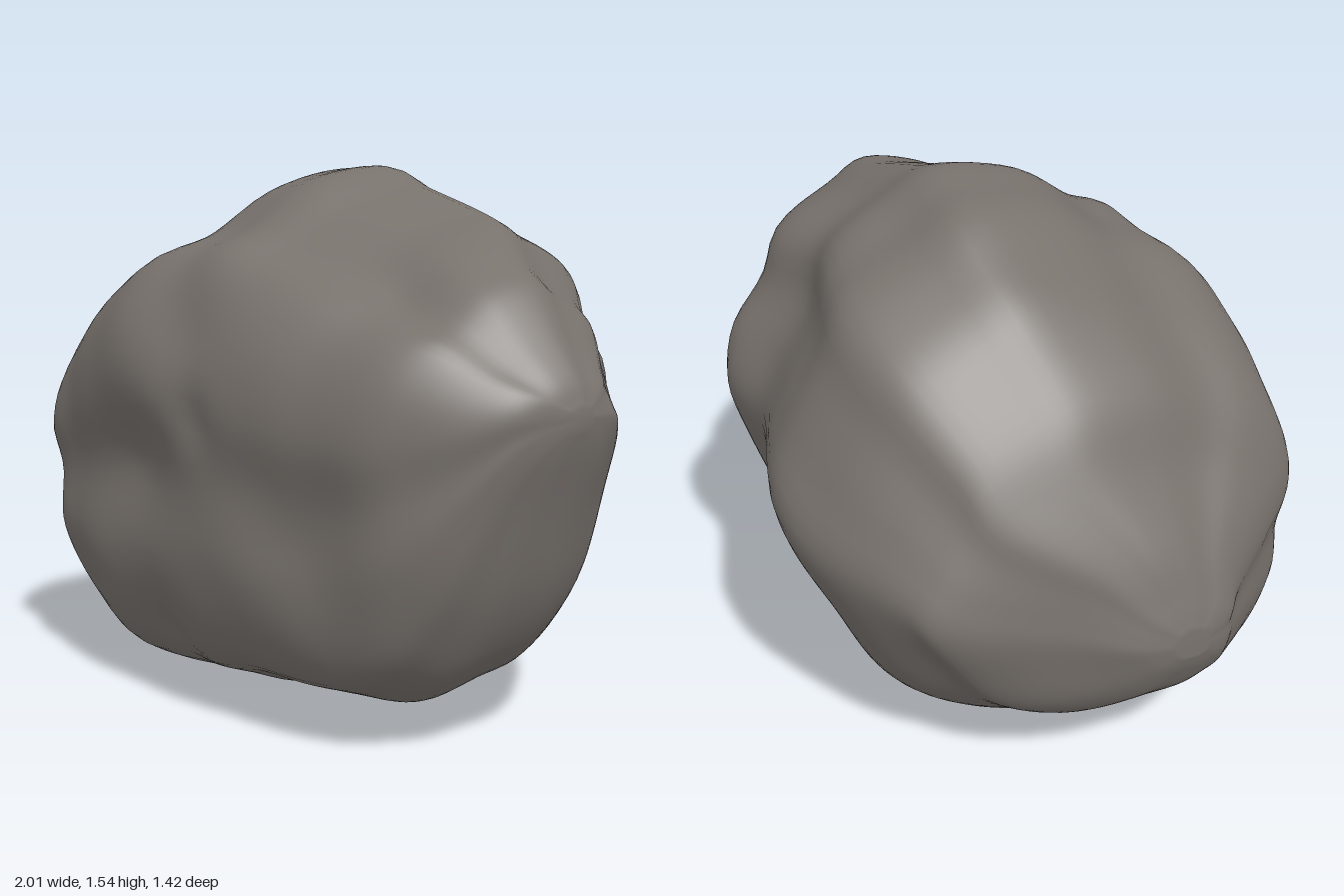
import * as THREE from 'three';

// Outline stations along the boulder: x, top y, bottom y, front z, back z
const STATIONS = [
  [-1.0, 0.58, 0.5, 0.2, 0.1],
  [-0.975, 0.66, 0.43, 0.29, -0.01],
  [-0.92, 0.8, 0.33, 0.36, -0.15],
  [-0.8, 1.0, 0.22, 0.54, -0.45],
  [-0.7, 1.17, 0.15, 0.66, -0.55],
  [-0.55, 1.34, 0.05, 0.68, -0.65],
  [-0.4, 1.44, 0.005, 0.7, -0.7],
  [-0.25, 1.52, 0.015, 0.71, -0.71],
  [-0.1, 1.535, 0.03, 0.7, -0.67],
  [0.05, 1.545, 0.04, 0.68, -0.62],
  [0.2, 1.49, 0.08, 0.65, -0.59],
  [0.4, 1.43, 0.095, 0.6, -0.6],
  [0.55, 1.39, 0.12, 0.54, -0.5],
  [0.7, 1.31, 0.22, 0.49, -0.36],
  [0.8, 1.25, 0.36, 0.42, -0.28],
  [0.9, 1.13, 0.6, 0.32, -0.18],
  [0.97, 1.04, 0.81, 0.21, -0.1],
  [1.0, 0.97, 0.92, 0.07, 0.0],
];

// Irregular cross-section, z and y, running from the top over the front
const SECTION = [
  [-0.11, 1.545], [0.15, 1.49], [0.35, 1.37], [0.53, 1.3], [0.66, 1.13], [0.71, 0.92],
  [0.675, 0.7], [0.68, 0.43], [0.58, 0.15], [0.4, 0.05], [0.22, 0], [0, 0.03],
  [-0.22, 0.07], [-0.45, 0.23], [-0.6, 0.5], [-0.71, 0.8], [-0.65, 1.0],
  [-0.55, 1.2], [-0.48, 1.36], [-0.27, 1.47],
];

// Local hollows (positive depth) and swellings (negative): x, y, z, radius, depth
const DENTS = [
  [-0.25, 0.72, 0.68, 0.2, 0.05],
  [0.02, 1.12, 0.6, 0.14, 0.035],
  [0.14, 0.88, 0.68, 0.08, 0.03],
  [-0.4, 1.05, 0.6, 0.22, -0.02],
  [0.42, 0.55, 0.55, 0.14, 0.03],
  [-0.12, 0.2, 0.6, 0.1, 0.03],
  [0.58, 1.2, 0.3, 0.12, 0.025],
  [0.6, 0.8, -0.45, 0.16, 0.05],
  [0.45, 0.97, -0.55, 0.12, -0.03],
  [0.15, 1.2, -0.5, 0.16, 0.035],
];

const RINGS = 90;
const SIDES = 96;

// Gentle weathered unevenness
function roughness(x, y, z) {
  return 0.007 * Math.sin(7 * x + 3 * y + 1) * Math.sin(6 * z - 4 * y)
    + 0.004 * Math.sin(13 * x - 5 * z) * Math.sin(12 * y + 4 * z + 2);
}

// Push a point towards or away from the core
function weather(p) {
  let depth = roughness(p.x, p.y, p.z);
  for (const [x, y, z, radius, d] of DENTS) {
    const dist2 = (p.x - x) ** 2 + (p.y - y) ** 2 + (p.z - z) ** 2;
    depth += d * Math.exp(-dist2 / (radius * radius));
  }
  const inward = new THREE.Vector3(p.x * 0.5, 0.75, 0).sub(p).normalize();
  p.addScaledVector(inward, depth);
  p.y = Math.max(p.y, 0);
  return p;
}

function boulderGeometry() {
  const curve = (points, closed) => new THREE.CatmullRomCurve3(points, closed, 'catmullrom', 0.5);
  const heights = curve(STATIONS.map(([x, t, b]) => new THREE.Vector3(x, t, b)), false);
  const depths = curve(STATIONS.map(([x, , , f, b]) => new THREE.Vector3(x, f, b)), false);
  const section = curve(
    SECTION.map(([z, y]) => new THREE.Vector3(z / 0.71, y / 0.7725 - 1, 0)), true,
  ).getSpacedPoints(SIDES);

  const positions = [];
  const index = [];
  for (let i = 0; i <= RINGS; i++) {
    const h = heights.getPoint(i / RINGS);
    const d = depths.getPoint(i / RINGS);
    for (let j = 0; j < SIDES; j++) {
      const p = new THREE.Vector3(
        h.x,
        (h.y + h.z) / 2 + section[j].y * (h.y - h.z) / 2,
        (d.y + d.z) / 2 + section[j].x * (d.y - d.z) / 2,
      );
      positions.push(...weather(p).toArray());
    }
  }
  for (let i = 0; i < RINGS; i++) {
    for (let j = 0; j < SIDES; j++) {
      const k = (j + 1) % SIDES;
      const a = i * SIDES + j, b = a + SIDES;
      const e = i * SIDES + k, c = e + SIDES;
      index.push(a, e, c, a, c, b);
    }
  }

  // Close the two ends
  const [first, last] = [STATIONS[0], STATIONS[STATIONS.length - 1]];
  const left = positions.length / 3;
  for (const [x, t, b, f, k] of [first, last]) positions.push(x, (t + b) / 2, (f + k) / 2);
  const base = RINGS * SIDES;
  for (let j = 0; j < SIDES; j++) {
    const k = (j + 1) % SIDES;
    index.push(left, k, j, left + 1, base + j, base + k);
  }

  const geometry = new THREE.BufferGeometry();
  geometry.setAttribute('position', new THREE.Float32BufferAttribute(positions, 3));
  geometry.setIndex(index);
  geometry.computeVertexNormals();
  return geometry;
}

export function createModel() {
  const stone = new THREE.MeshStandardMaterial({ color: 0x78726d });
  stone.name = 'stone grey';

  const boulder = new THREE.Mesh(boulderGeometry(), stone);
  boulder.name = 'boulder';

  const model = new THREE.Group();
  model.name = 'rock';
  model.add(boulder);
  return model;
}
